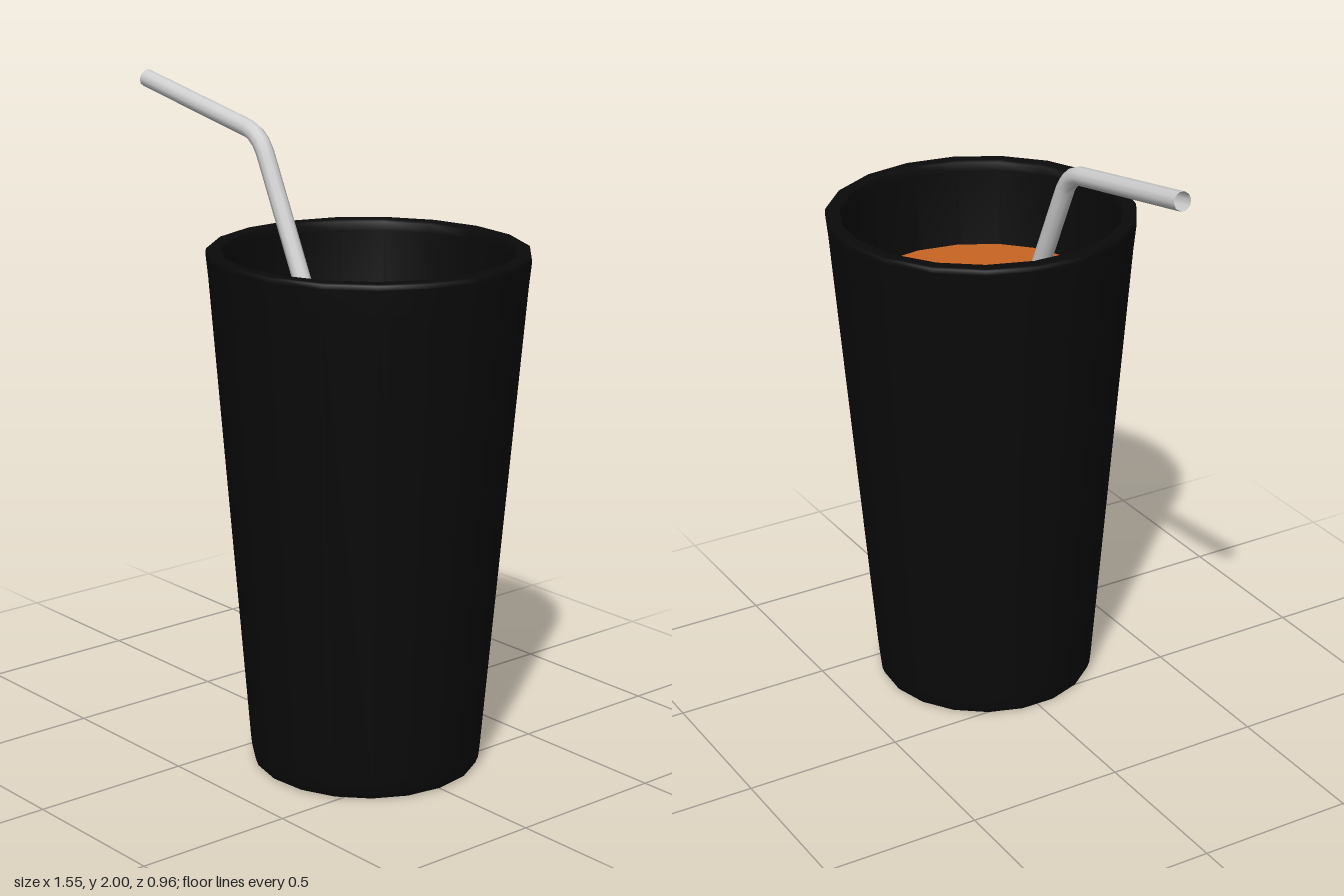
import * as THREE from 'three';

const SIDES = 19;
const CUP_X = 0.295;
const LEVEL = 1.31;

const material = (name, color, side = THREE.FrontSide) => {
  const m = new THREE.MeshStandardMaterial({ color, side });
  m.name = name;
  return m;
};

export function createModel() {
  const black = material('black', 0x0a0a0a);
  const orange = material('orange', 0xc86422);
  const tan = material('tan', 0xcd9a60);
  const grey = material('light grey', 0xd0d0d0, THREE.DoubleSide);

  const group = new THREE.Group();
  const add = (name, geometry, mat, x = 0, y = 0, z = 0) => {
    const mesh = new THREE.Mesh(geometry, mat);
    mesh.name = name;
    mesh.position.set(x, y, z);
    group.add(mesh);
    return mesh;
  };

  // Tapered cup: outside, thin rounded rim, inside wall and floor
  const profile = [
    [0, 0], [0.335, 0], [0.342, 0.004], [0.35, 0.025], [0.354, 0.06],
    [0.472, 1.5], [0.48, 1.575], [0.478, 1.588], [0.472, 1.592],
    [0.438, 1.592], [0.432, 1.585], [0.428, 1.56], [0.315, 0.06], [0, 0.05],
  ].map(([r, y]) => new THREE.Vector2(r, y));
  add('cup', new THREE.LatheGeometry(profile, SIDES), black, CUP_X).rotation.y = Math.PI / 2;

  // Drink with a pale edge showing at the left and front
  const disc = (name, r, mat, x, y, z) => {
    const g = new THREE.CylinderGeometry(r, r, 0.006, SIDES);
    add(name, g, mat, x, y, z).rotation.y = Math.PI / 2;
  };
  disc('drinkEdge', 0.418, tan, CUP_X, LEVEL - 0.004, 0);
  disc('drinkSurface', 0.408, orange, CUP_X + 0.014, LEVEL, -0.012);

  // Bent drinking straw, open at its ends
  const v = (x, y) => new THREE.Vector3(x, y, 0.01);
  const path = new THREE.CurvePath();
  path.add(new THREE.LineCurve3(v(-0.77, 1.972), v(-0.26, 1.878)));
  path.add(new THREE.QuadraticBezierCurve3(v(-0.26, 1.878), v(-0.2, 1.867), v(-0.171, 1.807)));
  path.add(new THREE.LineCurve3(v(-0.171, 1.807), v(0.55, 0.3)));
  add('straw', new THREE.TubeGeometry(path, 70, 0.028, 10, false), grey);

  return group;
}
